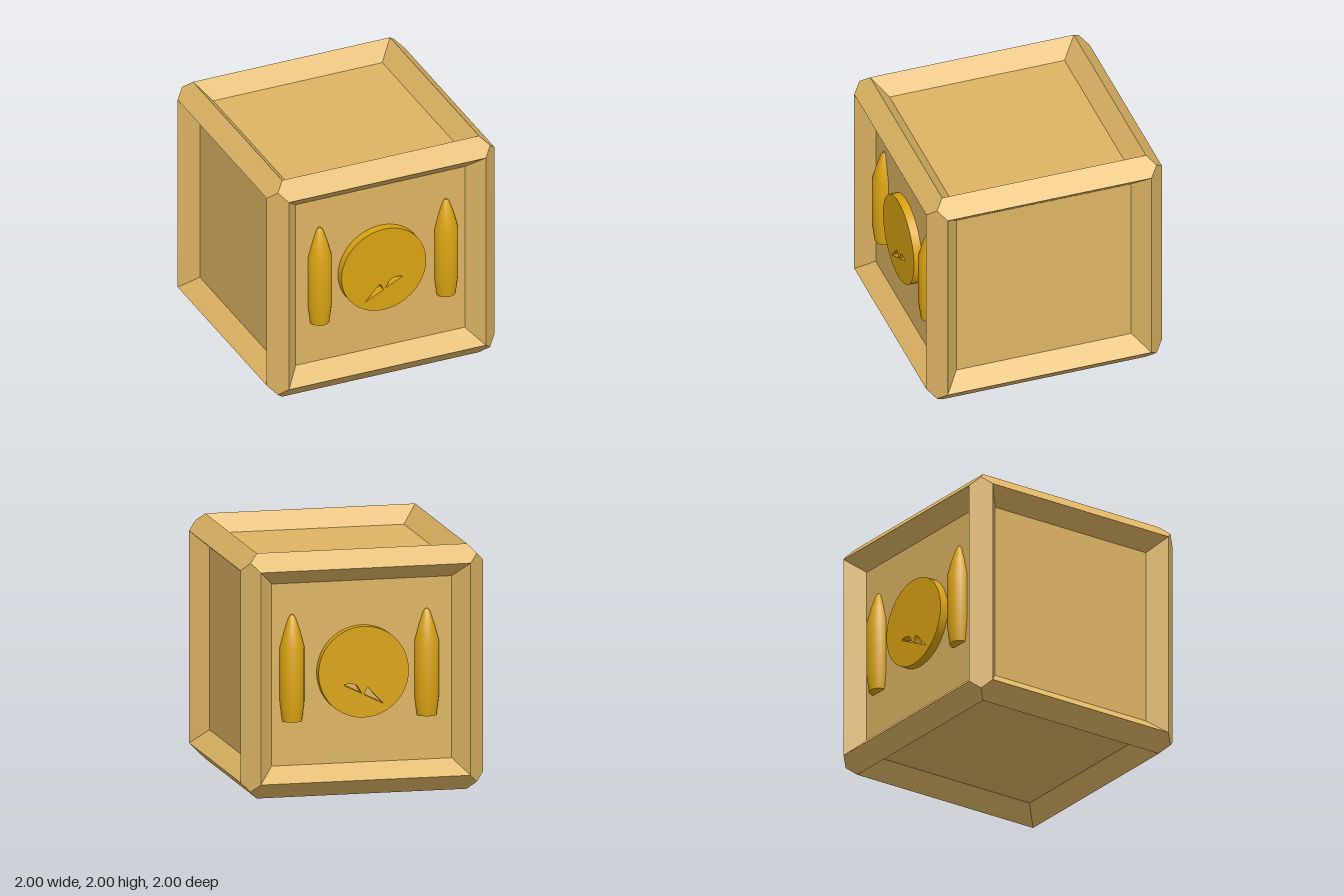
import * as THREE from 'three';
import { toCreasedNormals } from 'three/addons/utils/BufferGeometryUtils.js';

const wood = new THREE.MeshStandardMaterial({ color: 0xdeb464, flatShading: true });
const gold = new THREE.MeshStandardMaterial({ color: 0xdaa312 });
const vecs = (pts) => pts.map(([x, y]) => new THREE.Vector2(x, y));

// One side of the crate: half of each edge chamfer, the sloped inner rim and the sunken panel
function sideGeometry() {
  const d = Math.SQRT2;
  const profile = vecs([[0.9325 * d, 0.9325], [0.865 * d, 1], [0.7425 * d, 0.86], [0, 0.86]]);
  const geo = new THREE.LatheGeometry(profile, 4, Math.PI / 4).toNonIndexed();
  geo.computeVertexNormals();
  return geo;
}

// Round shell: tapered base, straight body, pointed nose
function shellGeometry() {
  const profile = vecs([
    [0, 0.62], [0.08, 0.62], [0.1, 0.78], [0.1, 1.225],
    [0.066, 1.35], [0.03, 1.46], [0.014, 1.485], [0, 1.49],
  ]);
  return toCreasedNormals(new THREE.LatheGeometry(profile, 24), 0.6);
}

// Flat disc with two small cut-outs
function discGeometry(depth) {
  const shape = new THREE.Shape();
  shape.absarc(0, 1.005, 0.372, 0, Math.PI * 2, false);
  shape.holes.push(
    new THREE.Path(vecs([[-0.165, 0.74], [-0.035, 0.877], [-0.02, 0.86], [-0.005, 0.818]])),
    new THREE.Path(vecs([[0.015, 0.83], [0.055, 0.897], [0.1, 0.912], [0.155, 0.91], [0.16, 0.9]])),
  );
  const geo = new THREE.ExtrudeGeometry(shape, { depth, bevelEnabled: false, curveSegments: 24 });
  return toCreasedNormals(geo, 0.6);
}

export function createModel() {
  const model = new THREE.Group();
  const add = (parent, name, geo, mat) => {
    const mesh = new THREE.Mesh(geo, mat);
    mesh.name = name;
    parent.add(mesh);
    return mesh;
  };

  // Crate: the same side turned six ways
  const crate = new THREE.Group();
  crate.name = 'crate';
  crate.position.y = 1;
  model.add(crate);
  const side = sideGeometry();
  const q = Math.PI / 2;
  const turns = {
    top: [0, 0], front: [q, 0], bottom: [2 * q, 0], back: [-q, 0], left: [0, -q], right: [0, q],
  };
  for (const [name, [rx, rz]] of Object.entries(turns)) {
    add(crate, name + 'Side', side, wood).rotation.set(rx, 0, rz);
  }

  // Emblem on front and back: a disc between two half-sunken shells
  const depth = 0.07;
  const disc = discGeometry(depth);
  const shell = shellGeometry();
  for (const s of [1, -1]) {
    const emblem = new THREE.Group();
    emblem.name = s > 0 ? 'frontEmblem' : 'backEmblem';
    model.add(emblem);
    add(emblem, 'disc', disc, gold).position.z = s > 0 ? 0.86 : -0.86 - depth;
    add(emblem, 'leftShell', shell, gold).position.set(0.575, 0, s * 0.86);
    add(emblem, 'rightShell', shell, gold).position.set(-0.535, 0, s * 0.86);
  }
  return model;
}
